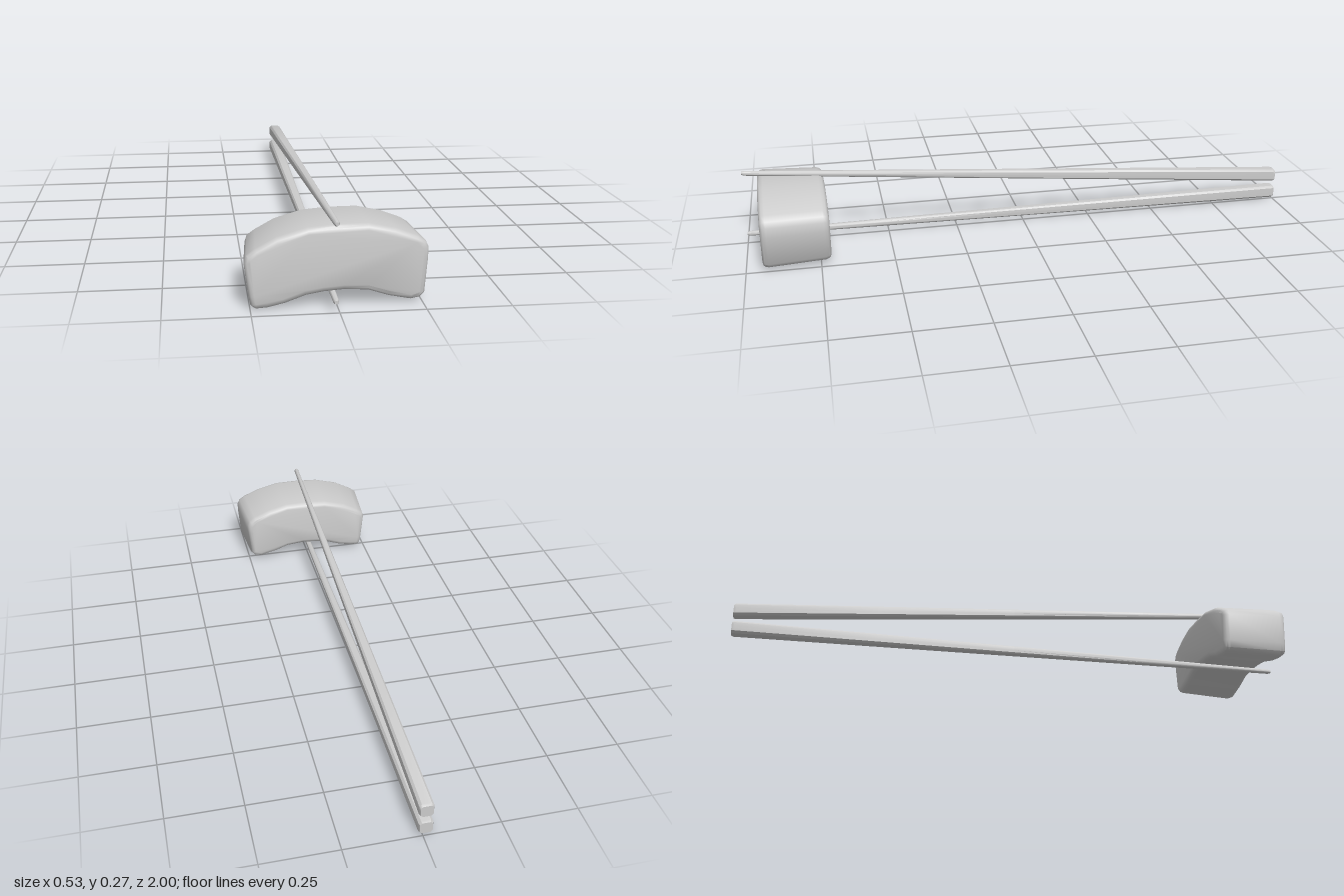
import * as THREE from 'three';
import { toCreasedNormals } from 'three/addons/utils/BufferGeometryUtils.js';

const V2 = (x, y) => new THREE.Vector2(x, y);

// Skin over matching cross-sections ordered back to front, each counter-clockwise seen from +z
function loft(rings, crease) {
  const n = rings[0].length, index = [];
  for (let r = 0; r < rings.length - 1; r++) {
    for (let i = 0; i < n; i++) {
      const a = r * n + i, b = r * n + (i + 1) % n;
      index.push(a, b, b + n, a, b + n, a + n);
    }
  }
  const last = (rings.length - 1) * n;
  const flat = rings[0].map(p => V2(p.x, p.y));
  for (const [a, b, c] of THREE.ShapeUtils.triangulateShape(flat, [])) {
    index.push(c, b, a, last + a, last + b, last + c);
  }
  const geometry = new THREE.BufferGeometry().setFromPoints(rings.flat());
  geometry.setIndex(index);
  return toCreasedNormals(geometry, crease);
}

// Move a counter-clockwise outline inwards along its normals
function inset(points, d) {
  const n = points.length;
  return points.map((p, i) => {
    const t = points[(i + 1) % n].clone().sub(points[(i + n - 1) % n]).normalize();
    return V2(p.x - t.y * d, p.y + t.x * d);
  });
}

// Arched block, tapering a little towards the back, with rounded edges
function archGeometry() {
  const outline = [
    [-0.268, 0.14], [-0.261, 0.162], [-0.235, 0.18], [-0.175, 0.212], [-0.085, 0.237],
    [0, 0.243], [0.09, 0.243], [0.17, 0.225], [0.235, 0.2], [0.258, 0.185], [0.268, 0.165],
    [0.267, 0.13], [0.259, 0.03], [0.243, 0.013], [0.215, 0.008], [0.15, 0.022],
    [0.09, 0.042], [0.02, 0.047], [-0.04, 0.043], [-0.09, 0.035], [-0.15, 0.014],
    [-0.2, 0.003], [-0.235, 0.001], [-0.25, 0.012], [-0.256, 0.04],
  ].map(([x, y]) => V2(x, y)).reverse();
  const stations = [ // z, inset
    [0.72, 0.018], [0.723, 0.009], [0.729, 0.003], [0.74, 0],
    [0.93, 0], [0.941, 0.003], [0.947, 0.009], [0.95, 0.018],
  ];
  const rings = stations.map(([z, d]) => {
    const back = (0.95 - z) / 0.23;
    const sx = 1 - 0.065 * back, sy = 1 - 0.05 * back;
    return inset(outline, d).map(p =>
      new THREE.Vector3(p.x * sx, 0.12 + (p.y - 0.12) * sy, z - 0.025 * p.x));
  });
  return loft(rings, 0.75);
}

// Stick: rounded square at the back, thinning to a round tip at the front
function stickGeometry(yBack, yTip) {
  const stations = [ // z, half width scale
    [-1, 0.86], [-0.992, 1], [-0.5, 1], [0, 1], [0.5, 1], [0.99, 1], [1, 0.6],
  ];
  const rings = stations.map(([z, s]) => {
    const t = (z + 1) / 2;
    const half = THREE.MathUtils.lerp(0.0235, 0.0085, t) * s;
    const power = THREE.MathUtils.lerp(7, 2, t);
    const ring = [];
    for (let i = 0; i < 16; i++) {
      const a = (i + 0.5) / 16 * Math.PI * 2, c = Math.cos(a), k = Math.sin(a);
      const r = half / (Math.abs(c) ** power + Math.abs(k) ** power) ** (1 / power);
      ring.push(new THREE.Vector3(-0.01 + r * c, THREE.MathUtils.lerp(yBack, yTip, t) + r * k, z));
    }
    return ring;
  });
  return loft(rings, 0.7);
}

export function createModel() {
  const group = new THREE.Group();
  const material = new THREE.MeshStandardMaterial({ color: 0xcccccc });
  const add = (name, geometry) => {
    const mesh = new THREE.Mesh(geometry, material);
    mesh.name = name;
    group.add(mesh);
  };
  add('archedPiece', archGeometry());
  add('upperChopstick', stickGeometry(0.099, 0.263));
  add('lowerChopstick', stickGeometry(0.032, 0.033));
  return group;
}
